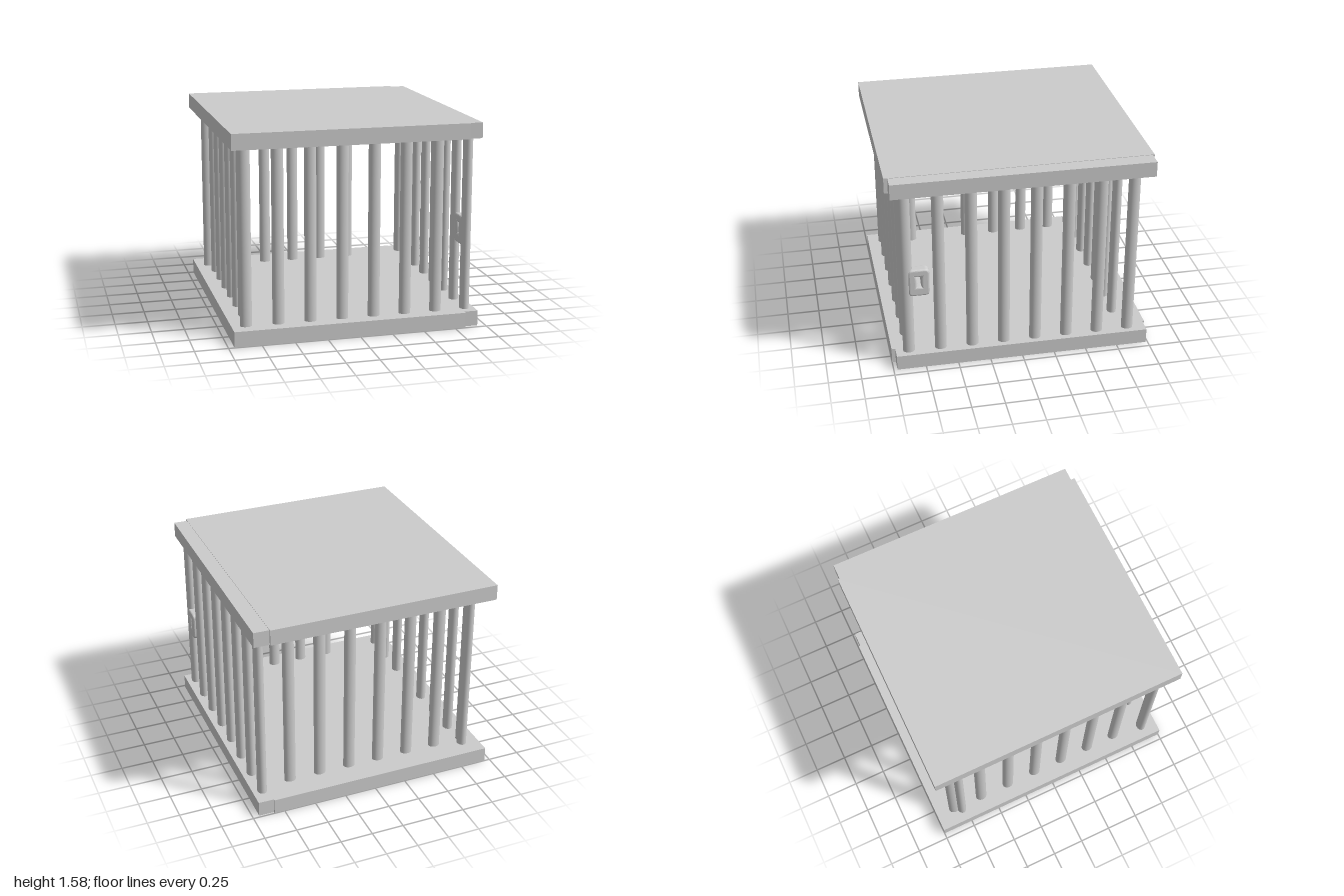
import * as THREE from 'three';

const material = new THREE.MeshStandardMaterial({ color: 0xcccccc });
const SPACING = 0.245;
const SLAB = 0.12, HEIGHT = 1.58;

function add(parent, name, geometry, x, y, z) {
  const mesh = new THREE.Mesh(geometry, material);
  mesh.name = name;
  mesh.position.set(x, y, z);
  parent.add(mesh);
  return mesh;
}

// Slightly oval bar, wider along its wall
function addBar(parent, name, x, z, alongX) {
  const geometry = new THREE.CylinderGeometry(0.045, 0.045, HEIGHT - 2 * SLAB + 0.02, 32);
  geometry.scale(alongX ? 1 : 0.8, 1, alongX ? 0.8 : 1);
  add(parent, name, geometry, x, HEIGHT / 2, z);
}

// Rounded padlock plate with a waisted opening, facing sideways
function lockGeometry() {
  const w = 0.065, h = 0.097, r = 0.02;
  const shape = new THREE.Shape();
  shape.moveTo(-w + r, -h);
  shape.lineTo(w - r, -h);
  shape.quadraticCurveTo(w, -h, w, -h + r);
  shape.lineTo(w, h - r);
  shape.quadraticCurveTo(w, h, w - r, h);
  shape.lineTo(-w + r, h);
  shape.quadraticCurveTo(-w, h, -w, h - r);
  shape.lineTo(-w, -h + r);
  shape.quadraticCurveTo(-w, -h, -w + r, -h);

  const hole = new THREE.Path();
  hole.moveTo(-0.04, 0.07);
  hole.quadraticCurveTo(0, 0.055, 0.04, 0.07);
  hole.quadraticCurveTo(0.025, 0.01, 0.037, -0.055);
  hole.quadraticCurveTo(0, -0.045, -0.037, -0.055);
  hole.quadraticCurveTo(-0.025, 0.01, -0.04, 0.07);
  shape.holes.push(hole);

  const geometry = new THREE.ExtrudeGeometry(shape, {
    depth: 0.045, bevelEnabled: true, bevelSize: 0.015, bevelThickness: 0.015,
    bevelSegments: 4, curveSegments: 8,
  });
  geometry.translate(0, 0, -0.0225);
  geometry.rotateY(-Math.PI / 2);
  return geometry;
}

export function createModel() {
  const cage = new THREE.Group();
  cage.name = 'cage';

  // Floor and roof slabs
  const slab = new THREE.BoxGeometry(1.785, SLAB, 2);
  add(cage, 'floor', slab, -0.0625, SLAB / 2, 0);
  add(cage, 'roof', slab, -0.0625, HEIGHT - SLAB / 2, 0);

  // Front, back and left-hand walls of bars
  for (let i = 0; i < 7; i++) {
    const x = -0.845 + i * SPACING;
    addBar(cage, 'frontBar', x, 0.875, true);
    addBar(cage, 'backBar', x, -0.79, true);
    addBar(cage, 'sideBar', -0.82, -0.845 + i * SPACING, false);
  }

  // Door, standing very slightly askew
  const door = new THREE.Group();
  door.name = 'door';
  door.position.set(0.883, -0.002, -0.007);
  door.rotation.y = -0.0065;
  cage.add(door);
  const rail = new THREE.BoxGeometry(0.12, SLAB - 0.002, 1.957);
  add(door, 'bottomRail', rail, 0, SLAB / 2 + 0.003, 0);
  add(door, 'topRail', rail, 0, HEIGHT - SLAB / 2, 0);
  for (let i = 0; i < 8; i++) addBar(door, 'doorBar', -0.015, -0.838 + i * SPACING, false);
  add(door, 'lock', lockGeometry(), -0.013, 0.73, 0.787);

  return cage;
}
